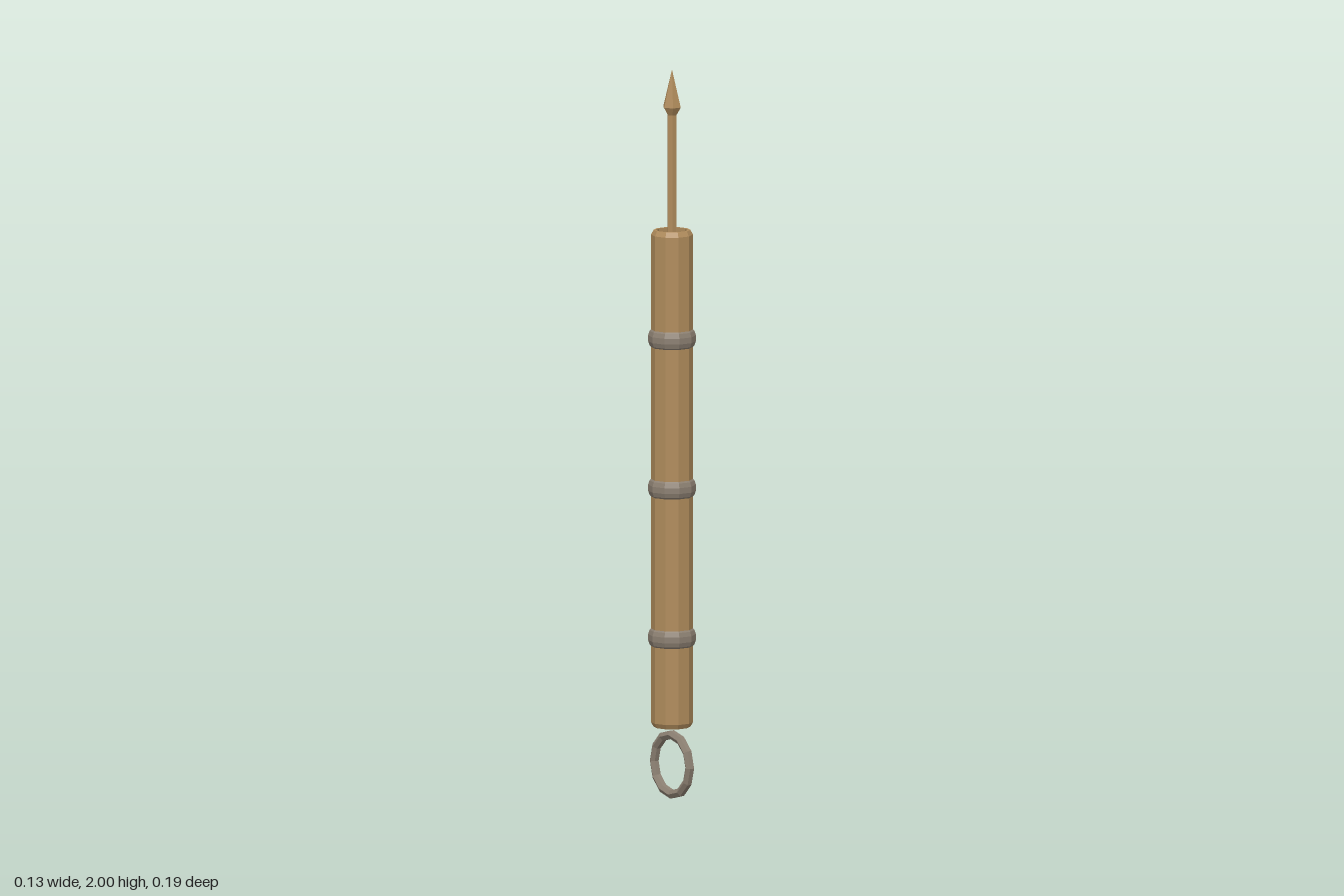
import * as THREE from 'three';

const wood = new THREE.MeshStandardMaterial({ color: 0xb08c5c, flatShading: true });
const metal = new THREE.MeshStandardMaterial({ color: 0x8c8072, flatShading: true });

// Faceted turned part with a corner on the x axis; profile runs bottom to top
function turned(name, profile, sides, material) {
  const points = profile.map(([r, y]) => new THREE.Vector2(r, y));
  const geometry = new THREE.LatheGeometry(points, sides);
  geometry.rotateY(Math.PI / 2);
  const mesh = new THREE.Mesh(geometry, material);
  mesh.name = name;
  return mesh;
}

export function createModel() {
  const group = new THREE.Group();
  group.name = 'spikedHandle';

  // Tubular handle with bevelled rims and shallow recesses at both ends
  group.add(turned('handle', [
    [0.043, 0.225], [0.043, 0.197], [0.05, 0.197], [0.057, 0.21],
    [0.057, 1.547], [0.05, 1.56], [0.043, 1.56], [0.043, 1.53],
  ], 10, wood));

  // Recessed end plates
  group.add(turned('topPlate', [[0.043, 1.53], [0, 1.53]], 10, metal));
  group.add(turned('bottomPlate', [[0, 0.225], [0.043, 0.225]], 10, wood));

  // Three rounded bands around the handle
  for (const y of [0.443, 0.853, 1.263]) {
    const band = turned('band', [
      [0.056, -0.025], [0.061, -0.02], [0.065, -0.008],
      [0.065, 0.008], [0.061, 0.02], [0.056, 0.025],
    ], 10, metal);
    band.position.y = y;
    group.add(band);
  }

  // Six-sided spike with a pointed head
  group.add(turned('spikeShaft', [[0.013, 1.53], [0.013, 1.89]], 6, wood));
  group.add(turned('spikeHead', [[0, 1.875], [0.013, 1.875], [0.026, 1.897], [0, 2]], 6, wood));

  // Hanging ring below the handle, lying in the yz plane
  const ring = new THREE.Mesh(new THREE.TorusGeometry(0.082, 0.013, 6, 12), metal);
  ring.geometry.rotateY(Math.PI / 2);
  // Turn the six-sided section so its corners point sideways
  const position = ring.geometry.attributes.position;
  for (let i = 0; i <= 6; i++) {
    for (let j = 0; j <= 12; j++) {
      const v = (i / 6) * Math.PI * 2 + Math.PI / 2;
      const u = (j / 12) * Math.PI * 2;
      const r = 0.082 + 0.013 * Math.cos(v);
      position.setXYZ(i * 13 + j, 0.013 * Math.sin(v), r * Math.sin(u), -r * Math.cos(u));
    }
  }
  ring.geometry.computeVertexNormals();
  ring.name = 'hangingRing';
  ring.position.y = 0.0935;
  group.add(ring);

  return group;
}
